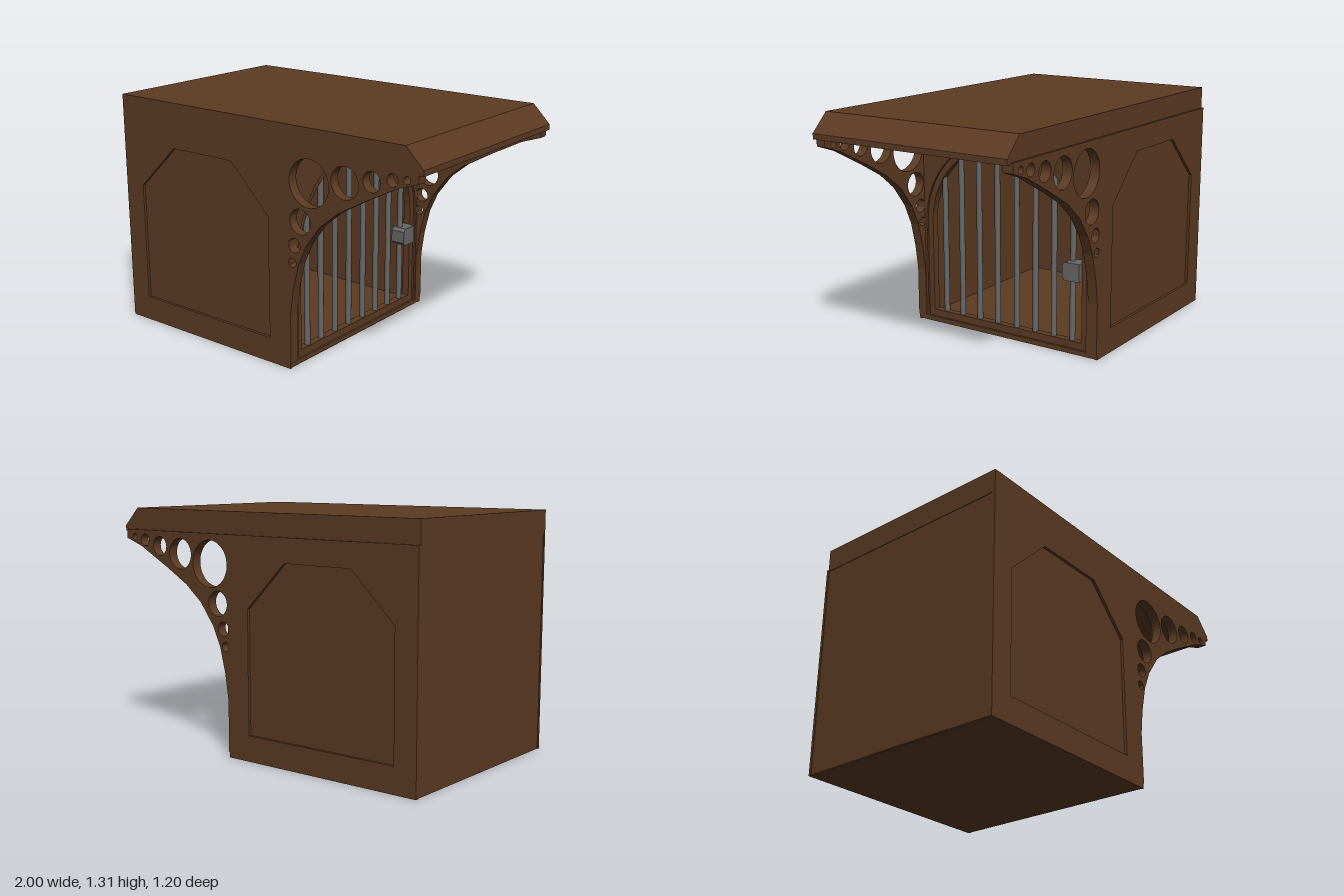
import * as THREE from 'three';

const brown = new THREE.MeshStandardMaterial({ color: 0x5c3a22 });
brown.name = 'brown wood';
const grey = new THREE.MeshStandardMaterial({ color: 0x676767 });
grey.name = 'grey metal';

const polygon = (pts) => new THREE.Shape(pts.map(([x, y]) => new THREE.Vector2(x, y)));

// Arched outline: straight sides up to the spring line, then half an ellipse
function arch(Type, half, bottom, spring, top) {
  const p = new Type();
  p.moveTo(-half, bottom);
  p.lineTo(half, bottom);
  p.lineTo(half, spring);
  p.absellipse(0, spring, half, top - spring, 0, Math.PI, false, 0);
  p.lineTo(-half, bottom);
  return p;
}

export function createModel() {
  const model = new THREE.Group();
  model.name = 'petCrate';

  const add = (name, geometry, material = brown) => {
    const mesh = new THREE.Mesh(geometry, material);
    mesh.name = name;
    model.add(mesh);
    return mesh;
  };
  const box = (name, x0, x1, y0, y1, z0, z1) =>
    add(name, new THREE.BoxGeometry(x1 - x0, y1 - y0, z1 - z0))
      .position.set((x0 + x1) / 2, (y0 + y1) / 2, (z0 + z1) / 2);
  // Profile in x,y pushed along z
  const alongZ = (name, shape, z0, z1, curveSegments = 24) => {
    const g = new THREE.ExtrudeGeometry(shape, { depth: z1 - z0, bevelEnabled: false, curveSegments });
    return add(name, g.translate(0, 0, z0));
  };
  // Profile in -z,y pushed along x
  const alongX = (name, shape, x0, x1, material = brown) => {
    const g = new THREE.ExtrudeGeometry(shape, { depth: x1 - x0, bevelEnabled: false, curveSegments: 24 });
    return add(name, g.rotateY(Math.PI / 2).translate(x0, 0, 0), material);
  };

  // Roof with a sloped leading edge
  alongZ('roof', polygon([
    [-1, 1.18], [1, 1.18], [1, 1.21], [0.9, 1.31], [-1, 1.31],
  ]), -0.587, 0.6);

  // Floor and back wall
  box('floor', -0.995, 0.195, 0, 0.03, -0.599, 0.599);
  box('backWall', -0.997, -0.94, 0.005, 1.19, -0.598, 0.598);

  // Side walls with a sunken panel, and porch brackets
  const panel = [[-0.87, 0.14], [0.06, 0.14], [0.06, 0.81], [-0.19, 1.06], [-0.61, 1.06], [-0.87, 0.81]];
  const curve = [
    [0.19, 0.03], [0.205, 0.03], [0.205, 0.31], [0.225, 0.45], [0.26, 0.59], [0.31, 0.7], [0.4, 0.82],
    [0.51, 0.91], [0.66, 0.995], [0.86, 1.1], [0.975, 1.14], [0.975, 1.19], [0.19, 1.19],
  ];
  const holes = [
    [0.33, 1.03, 0.125], [0.552, 1.072, 0.083], [0.712, 1.106, 0.052], [0.83, 1.135, 0.032],
    [0.911, 1.148, 0.019], [0.274, 0.822, 0.067], [0.235, 0.69, 0.038], [0.22, 0.595, 0.025],
  ];
  for (const [side, s] of [['left', 1], ['right', -1]]) {
    const span = (a, b) => (s > 0 ? [a, b] : [-b, -a]);
    const skin = polygon([[-1, 0], [0.2, 0], [0.2, 1.19], [-1, 1.19]]);
    skin.holes.push(polygon(panel));
    alongZ(side + 'Wall', skin, ...span(0.585, 0.6));
    box(side + 'WallPanel', -0.99, 0.19, 0.01, 1.19, ...span(0.545, 0.585));

    const bracket = polygon(curve);
    for (const [x, y, r] of holes) {
      // Small holes meet the wall, so keep them just inside the hidden edge
      const hole = new THREE.Path();
      hole.absarc(x, y, r, 0, Math.PI * 2, true);
      bracket.holes.push(hole);
    }
    alongZ(side + 'Bracket', bracket, ...span(0.545, 0.6));
  }

  // Front wall with arched opening
  const wall = polygon([[-0.595, 0.005], [0.595, 0.005], [0.595, 1.19], [-0.595, 1.19]]);
  wall.holes.push(arch(THREE.Path, 0.53, 0.03, 0.6, 1.112));
  alongX('frontWall', wall, 0.14, 0.2);

  // Door frame set slightly back in the opening
  const frame = arch(THREE.Shape, 0.53, 0.03, 0.6, 1.112);
  frame.holes.push(arch(THREE.Path, 0.495, 0.07, 0.6, 1.076));
  alongX('doorFrame', frame, 0.145, 0.188);

  // Door bars reaching up into the arch
  for (const z of [0.42, 0.305, 0.184, 0.061, -0.067, -0.189, -0.308, -0.426]) {
    const top = 0.61 + 0.476 * Math.sqrt(1 - (z / 0.495) ** 2);
    const bar = add('doorBar', new THREE.CylinderGeometry(0.016, 0.016, top - 0.06, 16), grey);
    bar.position.set(0.166, (top + 0.06) / 2, z);
  }

  // Door latch with clipped corners
  alongX('latch', polygon([
    [0.408, 0.413], [0.495, 0.413], [0.495, 0.513], [0.408, 0.513], [0.39, 0.497], [0.39, 0.429],
  ]), 0.135, 0.22, grey);

  return model;
}
